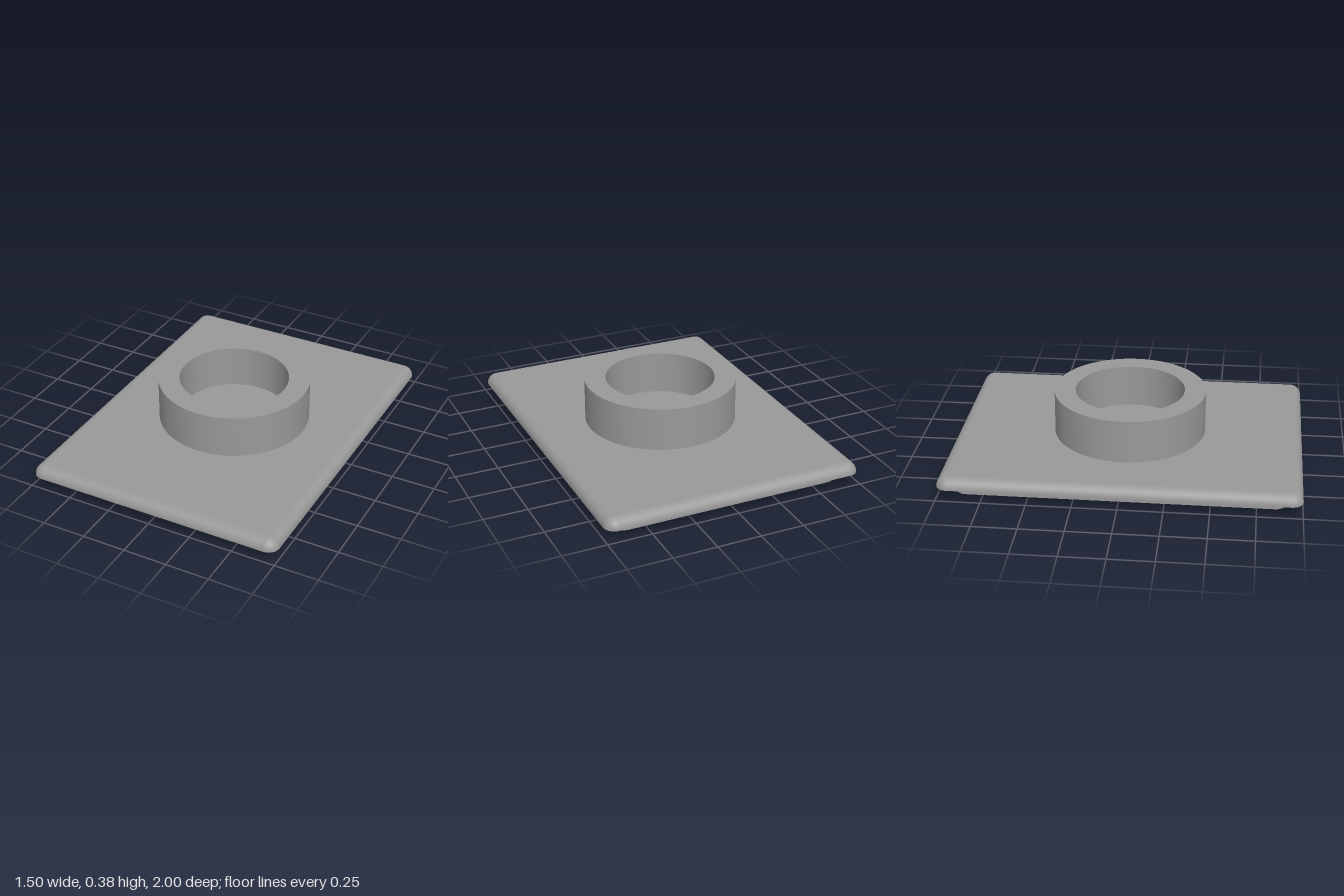
import * as THREE from 'three';
import { toCreasedNormals } from 'three/addons/utils/BufferGeometryUtils.js';

const SLAB_TOP = 0.066, PLATE_TOP = 0.126, COLLAR_TOP = 0.376;
const HALF_W = 0.749, HALF_D = 1, EDGE = 0.06, CORNER = 0.064;
const COLLAR_R = 0.437, POCKET_R = 0.315, BORE_R = 0.065;

// Counter-clockwise rounded rectangle; each point also keeps its outward direction
function outline(w, d, r, steps = 10) {
  const pts = [];
  [[1, 1], [-1, 1], [-1, -1], [1, -1]].forEach(([sx, sy], q) => {
    for (let i = 0; i <= steps; i++) {
      const a = (q + i / steps) * Math.PI / 2;
      const p = new THREE.Vector2(sx * (w - r) + r * Math.cos(a), sy * (d - r) + r * Math.sin(a));
      p.dir = [Math.cos(a), Math.sin(a)];
      pts.push(p);
    }
  });
  return pts;
}

const circle = (r) => new THREE.Path().absarc(0, 0, r, 0, Math.PI * 2, true);

function shapeWithHole(pts, hole) {
  const shape = new THREE.Shape(pts);
  shape.holes.push(hole);
  return shape;
}

// Quarter-round rim made of stacked, shrinking outlines
function roundedRim(steps = 10) {
  const pos = [], nor = [], idx = [];
  let n = 0;
  for (let i = 0; i <= steps; i++) {
    const a = (i / steps) * Math.PI / 2, c = Math.cos(a), s = Math.sin(a);
    const inset = EDGE * (1 - c);
    const loop = outline(HALF_W - inset, HALF_D - inset, CORNER - inset);
    n = loop.length;
    for (const p of loop) {
      pos.push(p.x, SLAB_TOP + EDGE * s, -p.y);
      nor.push(p.dir[0] * c, s, -p.dir[1] * c);
    }
  }
  for (let i = 0; i < steps; i++) {
    for (let j = 0; j < n; j++) {
      const k = (j + 1) % n, a = i * n + j, b = i * n + k;
      idx.push(a, b, b + n, a, b + n, a + n);
    }
  }
  const g = new THREE.BufferGeometry();
  g.setAttribute('position', new THREE.Float32BufferAttribute(pos, 3));
  g.setAttribute('normal', new THREE.Float32BufferAttribute(nor, 3));
  g.setIndex(idx);
  return g;
}

export function createModel() {
  const group = new THREE.Group();
  const grey = new THREE.MeshStandardMaterial({ color: 0x999999 });
  grey.name = 'grey';
  const add = (name, geometry) => {
    const mesh = new THREE.Mesh(geometry, grey);
    mesh.name = name;
    group.add(mesh);
  };

  // Inset slab under the plate, pierced by the bore
  const slabPts = outline(0.659, 0.911, 0.064);
  const slab = new THREE.ExtrudeGeometry(shapeWithHole(slabPts, circle(BORE_R)),
    { depth: SLAB_TOP, bevelEnabled: false, curveSegments: 64 });
  slab.rotateX(-Math.PI / 2);
  add('baseSlab', toCreasedNormals(slab, 0.6));

  // Plate: rounded rim, flat top and overhanging underside
  add('plateRim', roundedRim());
  const top = new THREE.ShapeGeometry(
    shapeWithHole(outline(HALF_W - EDGE, HALF_D - EDGE, CORNER - EDGE), circle(COLLAR_R)), 96);
  top.rotateX(-Math.PI / 2).translate(0, PLATE_TOP, 0);
  add('plateTop', top);
  const under = new THREE.ShapeGeometry(
    shapeWithHole(outline(HALF_W, HALF_D, CORNER), new THREE.Path(slabPts)));
  under.rotateX(Math.PI / 2).translate(0, SLAB_TOP, 0);
  add('plateUnderside', under);

  // Collar with its pocket floor and the upper part of the bore
  const profile = [
    [COLLAR_R, PLATE_TOP], [COLLAR_R, COLLAR_TOP], [POCKET_R, COLLAR_TOP],
    [POCKET_R, PLATE_TOP], [BORE_R, PLATE_TOP], [BORE_R, SLAB_TOP],
  ].map(([x, y]) => new THREE.Vector2(x, y));
  add('collar', toCreasedNormals(new THREE.LatheGeometry(profile, 96), 0.6));

  return group;
}
